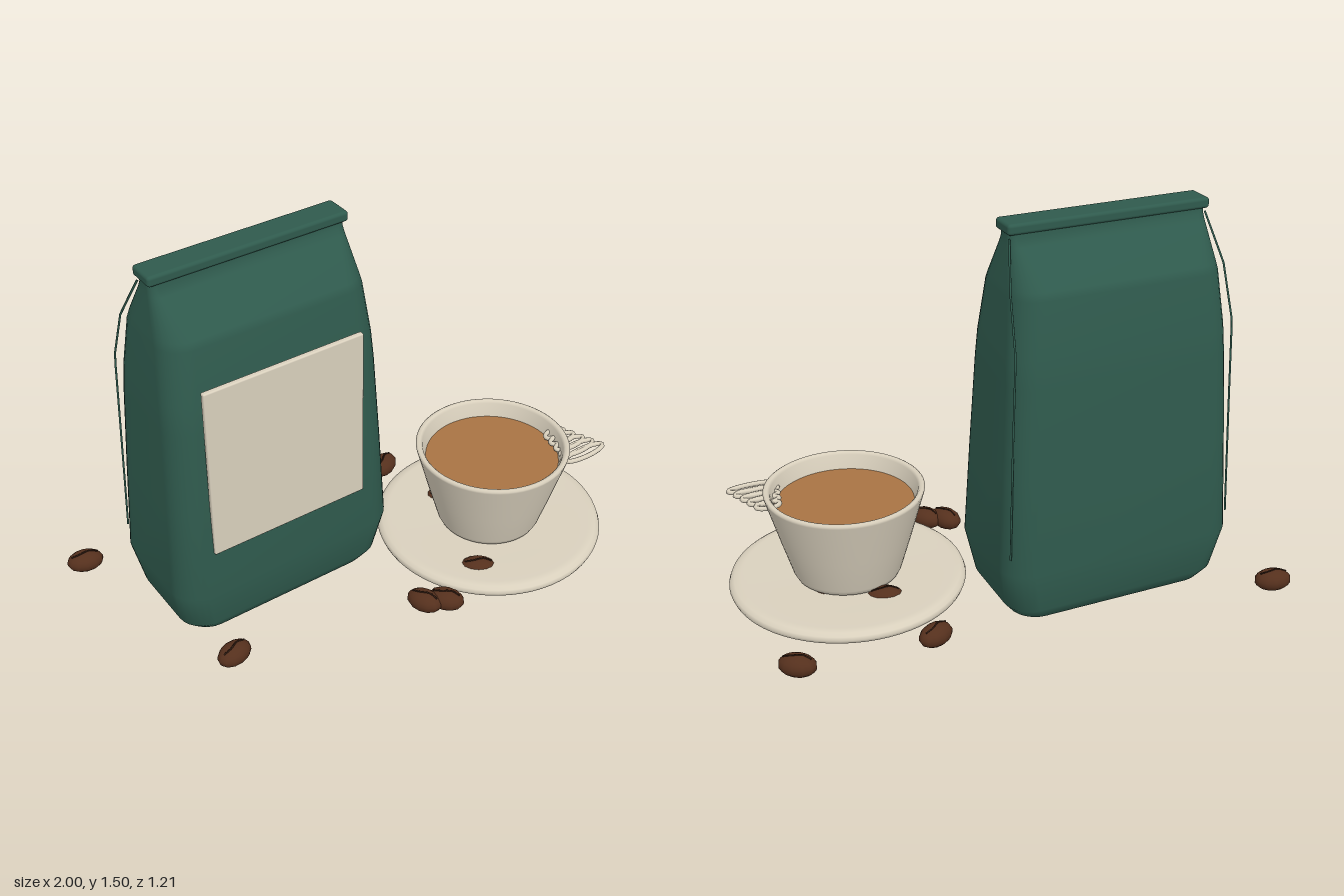
import * as THREE from 'three';
import { RoundedBoxGeometry } from 'three/addons/geometries/RoundedBoxGeometry.js';

const mat = (name, color, side = THREE.FrontSide) => {
  const m = new THREE.MeshStandardMaterial({ color, side });
  m.name = name;
  return m;
};

// Loft of rounded rectangles: rows of [y, halfWidth, halfDepth], closed at the bottom
function bagGeometry(rows, steps = 6) {
  const pos = [], idx = [], n = 4 * (steps + 1);
  for (const [y, hx, hz] of rows) {
    const r = Math.min(0.1, hz * 0.6);
    for (let q = 0; q < 4; q++) {
      const sx = q === 0 || q === 3 ? 1 : -1, sz = q < 2 ? 1 : -1;
      for (let s = 0; s <= steps; s++) {
        const a = (q + s / steps) * Math.PI / 2;
        pos.push(sx * (hx - r) + r * Math.cos(a), y, sz * (hz - r) + r * Math.sin(a));
      }
    }
  }
  for (let i = 0; i < rows.length - 1; i++) {
    for (let j = 0; j < n; j++) {
      const a = i * n + j, c = i * n + (j + 1) % n;
      idx.push(a, a + n, c, c, a + n, c + n);
    }
  }
  const centre = pos.length / 3;
  pos.push(0, rows[0][0], 0);
  for (let j = 0; j < n; j++) idx.push(centre, j, (j + 1) % n);
  const g = new THREE.BufferGeometry();
  g.setAttribute('position', new THREE.Float32BufferAttribute(pos, 3));
  g.setIndex(idx);
  g.computeVertexNormals();
  return g;
}

const lathe = (pts, seg = 64) =>
  new THREE.LatheGeometry(pts.map(([x, y]) => new THREE.Vector2(x, y)), seg);

export function createModel() {
  const root = new THREE.Group();
  const green = mat('bag green', 0x2f5a4d);
  const cream = mat('cream ceramic', 0xd9d0bd);
  const coffee = mat('coffee brown', 0xa87343);
  const brown = mat('roasted brown', 0x55301d);
  const dark = mat('dark crease', 0x2e1a10);

  const add = (name, geo, material, x = 0, y = 0, z = 0, parent = root) => {
    const m = new THREE.Mesh(geo, material);
    m.name = name;
    m.position.set(x, y, z);
    parent.add(m);
    return m;
  };

  // Coffee bag
  const bag = new THREE.Group();
  bag.name = 'bag';
  bag.position.set(-0.35, 0, -0.18);
  root.add(bag);
  add('bagBody', bagGeometry([
    [0, 0.33, 0.16], [0.015, 0.4, 0.2], [0.06, 0.435, 0.225], [0.23, 0.47, 0.25],
    [0.6, 0.452, 0.238], [0.95, 0.435, 0.222], [1.06, 0.429, 0.212], [1.26, 0.41, 0.182],
    [1.29, 0.405, 0.172], [1.42, 0.388, 0.066], [1.445, 0.385, 0.05], [1.475, 0.385, 0.048],
  ]), green, 0, 0, 0, bag);
  add('foldedTop', new RoundedBoxGeometry(0.79, 0.04, 0.112, 3, 0.012), green, 0, 1.483, 0, bag);
  add('label', new RoundedBoxGeometry(0.65, 0.71, 0.022, 2, 0.006), cream, -0.005, 0.775, 0.244, bag);

  // Thin seams down the back corners
  for (const s of [-1, 1]) {
    const path = new THREE.CurvePath();
    const pts = [[0.385, 1.45, -0.04], [0.42, 1.28, -0.13], [0.43, 1.08, -0.195], [0.44, 0.75, -0.2], [0.452, 0.3, -0.212]]
      .map(([x, y, z]) => new THREE.Vector3(s * x, y, z));
    for (let i = 0; i < pts.length - 1; i++) path.add(new THREE.LineCurve3(pts[i], pts[i + 1]));
    add('sideSeam', new THREE.TubeGeometry(path, 24, 0.004, 6), green, 0, 0, 0, bag);
  }

  // Cup and saucer share one centre
  const set = new THREE.Group();
  set.name = 'cupAndSaucer';
  set.position.set(0.543, 0, 0.147);
  root.add(set);
  add('saucer', lathe([
    [0, 0.022], [0.4, 0.022], [0.435, 0.027], [0.45, 0.037], [0.455, 0.05],
    [0.45, 0.063], [0.435, 0.072], [0.41, 0.076], [0.3, 0.072], [0, 0.07],
  ]), cream, 0, 0, 0, set);
  add('cup', lathe([
    [0, 0.072], [0.185, 0.072], [0.2, 0.08], [0.21, 0.1], [0.25, 0.235], [0.302, 0.42],
    [0.304, 0.43], [0.297, 0.435], [0.286, 0.434], [0.278, 0.425], [0.262, 0.365], [0.25, 0.32],
  ]), cream, 0, 0, 0, set);
  const surface = add('coffeeSurface', new THREE.CircleGeometry(0.266, 64), coffee, 0, 0.37, 0, set);
  surface.rotation.x = -Math.PI / 2;

  // Handle: a fan of widening flat loops
  const handle = new THREE.Group();
  handle.name = 'handle';
  root.add(handle);
  for (let i = 0; i < 5; i++) {
    const w = 0.045 + i * 0.0125, h = 0.024;
    const pts = [];
    for (let k = 0; k < 24; k++) {
      const a = k / 24 * Math.PI * 2;
      pts.push(new THREE.Vector3(w * Math.cos(a), 0, h * Math.sin(a)));
    }
    const loop = new THREE.CatmullRomCurve3(pts, true);
    add('handleLoop', new THREE.TubeGeometry(loop, 40, 0.0095, 8, true), cream,
      0.825 + i * 0.0035, 0.391, 0.2 + i * 0.04, handle);
  }

  // Coffee beans: [x, z, turn]
  const beanGeo = new THREE.SphereGeometry(1, 12, 9);
  beanGeo.scale(0.072, 0.042, 0.049);
  const crease = new THREE.CatmullRomCurve3([
    [-0.052, 0.03, 0.002], [-0.02, 0.04, 0.006], [0.02, 0.04, -0.006], [0.052, 0.03, -0.002],
  ].map((p) => new THREE.Vector3(...p)));
  const creaseGeo = new THREE.TubeGeometry(crease, 10, 0.0035, 5);
  const beans = [
    [-0.93, -0.56, -0.25], [0.39, -0.375, 0.4], [0.9, -0.35, -0.65], [-0.705, 0.21, 0.2],
    [0.035, 0.39, -1.15], [0.108, 0.43, -0.95],
    [0.64, 0.055, 0.3], [0.47, -0.065, -0.3], [0.59, 0.245, 0.6], [0.51, 0.285, -0.4], [0.32, 0.36, -0.6],
  ];
  for (const [x, z, turn] of beans) {
    const bean = new THREE.Group();
    bean.name = 'bean';
    bean.position.set(x, 0.052, z);
    bean.rotation.y = turn;
    root.add(bean);
    add('beanBody', beanGeo, brown, 0, 0, 0, bean);
    add('beanCrease', creaseGeo, dark, 0, 0, 0, bean);
  }
  return root;
}
